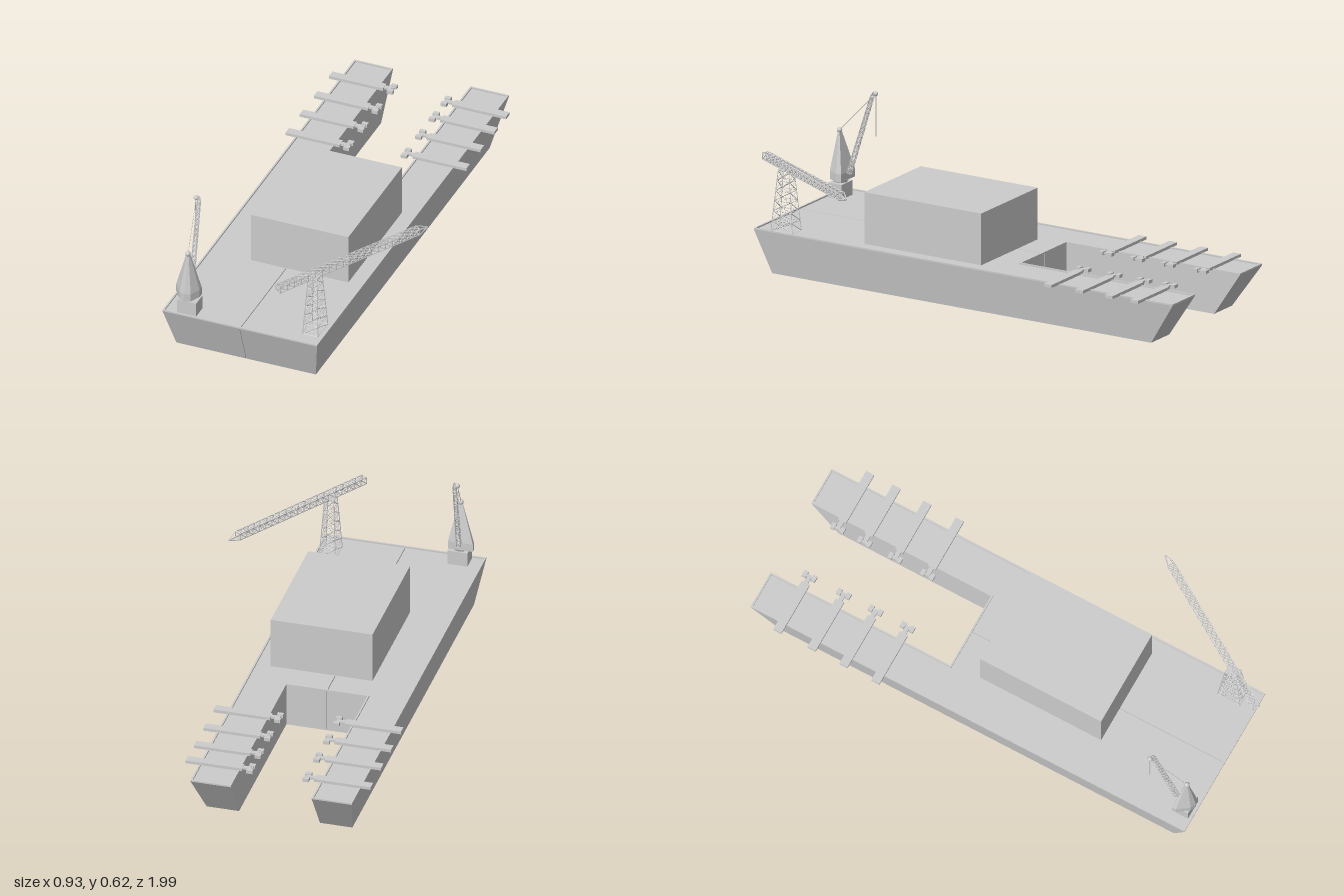
import * as THREE from 'three';
import { mergeGeometries } from 'three/addons/utils/BufferGeometryUtils.js';

const V = (x, y, z) => new THREE.Vector3(x, y, z);
const MID = -0.096, DECK = 0.183;

export function createModel() {
  const model = new THREE.Group();
  const mat = new THREE.MeshStandardMaterial({ color: 0xcccccc });
  const flat = new THREE.MeshStandardMaterial({ color: 0xcccccc, flatShading: true });

  const add = (name, geo, parent = model, material = flat) => {
    const mesh = new THREE.Mesh(geo, material);
    mesh.name = name;
    parent.add(mesh);
    return mesh;
  };
  const box = (x0, x1, y0, y1, z0, z1) =>
    new THREE.BoxGeometry(x1 - x0, y1 - y0, z1 - z0).translate((x0 + x1) / 2, (y0 + y1) / 2, (z0 + z1) / 2);

  // Plan outline given as [x, z] pairs, raised along y
  const path = (pts, T = THREE.Shape) => new T(pts.map(([x, z]) => new THREE.Vector2(x, -z)));
  const raise = (shape, height, y = 0) =>
    new THREE.ExtrudeGeometry(shape, { depth: height, bevelEnabled: false }).rotateX(-Math.PI / 2).translate(0, y, 0);

  // Move every vertex of a geometry by a rule
  const warp = (geo, rule) => {
    const p = geo.attributes.position, v = V(0, 0, 0);
    for (let i = 0; i < p.count; i++) {
      rule(v.fromBufferAttribute(p, i));
      p.setXYZ(i, v.x, v.y, v.z);
    }
    geo.computeVertexNormals();
    return geo;
  };

  // Thin square bar or round rod between two points
  const strut = (a, b, r, sides = 4) => {
    const d = b.clone().sub(a);
    const q = new THREE.Quaternion().setFromUnitVectors(V(0, 1, 0), d.clone().normalize());
    return new THREE.CylinderGeometry(r, r, d.length(), sides)
      .applyQuaternion(q).translate(...a.clone().add(b).multiplyScalar(0.5).toArray());
  };

  // Four-legged lattice truss tapering from size s0 to s1, cross braced in each bay
  const lattice = (a, b, s0, s1, bays, r) => {
    const dir = b.clone().sub(a).normalize();
    const u = Math.abs(dir.y) > 0.99 ? V(1, 0, 0) : V(0, 1, 0).cross(dir).normalize();
    const w = dir.clone().cross(u);
    const corner = (i, k) => {
      const t = i / bays, sx = [-1, 1, 1, -1][k % 4], sy = [-1, -1, 1, 1][k % 4];
      return a.clone().lerp(b, t)
        .addScaledVector(u, sx * THREE.MathUtils.lerp(s0[0], s1[0], t) / 2)
        .addScaledVector(w, sy * THREE.MathUtils.lerp(s0[1], s1[1], t) / 2);
    };
    const parts = [];
    for (let k = 0; k < 4; k++) {
      parts.push(strut(corner(0, k), corner(bays, k), r * 1.3));
      for (let i = 0; i <= bays; i++) {
        parts.push(strut(corner(i, k), corner(i, k + 1), r));
        if (i < bays) {
          parts.push(strut(corner(i, k), corner(i + 1, k + 1), r));
          parts.push(strut(corner(i, k + 1), corner(i + 1, k), r));
        }
      }
    }
    return mergeGeometries(parts);
  };

  // Hull: two halves with raked ends, flared outer sides and a slot at the stern
  const hull = new THREE.Group();
  hull.name = 'hull';
  model.add(hull);
  for (const side of [-1, 1]) {
    const seam = MID + side * 0.0015, inner = MID + side * 0.165, outer = MID + side * 0.329;
    const pts = [[seam, 0.945], [outer, 0.945], [outer, -1], [inner, -1], [inner, -0.195], [seam, -0.195]];
    add(side < 0 ? 'rightHullHalf' : 'leftHullHalf', warp(raise(path(pts), DECK - 0.005), (v) => {
      if (v.y > 0.01) return;
      if (Math.abs(v.x - MID) > 0.3) v.x -= side * 0.032;
      if (v.z > 0.9) v.z = 0.88;
      if (v.z < -0.9) v.z = -0.88;
    }), hull);
  }

  // Low rim around the deck edge
  const deckOutline = (e) => [
    [MID - 0.329 + e, 0.945 - e], [MID + 0.329 - e, 0.945 - e], [MID + 0.329 - e, -1 + e], [MID + 0.165 + e, -1 + e],
    [MID + 0.165 + e, -0.195 + e], [MID - 0.165 - e, -0.195 + e], [MID - 0.165 - e, -1 + e], [MID - 0.329 + e, -1 + e],
  ];
  const rim = path(deckOutline(0));
  rim.holes.push(path(deckOutline(0.007), THREE.Path));
  add('deckRim', raise(rim, 0.006, DECK - 0.005), hull);

  add('deckhouse', box(-0.247, 0.168, 0.17, 0.39, -0.07, 0.473));

  // Arms reaching over the slot, each with a rod and a double pad
  const arm = (side, z) => {
    const g = new THREE.Group();
    g.name = side < 0 ? 'rightMooringArm' : 'leftMooringArm';
    g.position.set(side < 0 ? -0.466 : 0.288, 0, z);
    g.scale.x = 1;
    g.rotation.y = side < 0 ? 0 : Math.PI;
    add('beam', box(0, 0.23, 0.181, 0.193, -0.018, 0.018), g);
    add('rod', box(0.225, 0.262, 0.184, 0.192, -0.009, 0.009), g);
    add('padBar', box(0.258, 0.268, 0.185, 0.191, -0.022, 0.022), g);
    for (const s of [-1, 1]) add('pad', box(0.25, 0.275, 0.181, 0.195, s * 0.02 - 0.009, s * 0.02 + 0.009), g);
    model.add(g);
  };
  [-0.857, -0.704, -0.561, -0.418].forEach((z) => arm(-1, z));
  [-0.857, -0.738, -0.6, -0.455].forEach((z) => arm(1, z));

  // Tower crane with a long lattice boom
  const tower = new THREE.Group();
  tower.name = 'towerCrane';
  model.add(tower);
  add('towerFrame', lattice(V(0.177, 0.178, 0.83), V(0.177, 0.425, 0.83), [0.066, 0.1], [0.038, 0.05], 6, 0.0014), tower);
  add('slewPlate', box(0.158, 0.196, 0.422, 0.429, 0.805, 0.855), tower);
  const boomEnd = V(0.438, 0.453, 0.41);
  add('boom', lattice(V(0.084, 0.436, 0.985), boomEnd, [0.027, 0.027], [0.027, 0.027], 20, 0.0016), tower);
  add('boomTip', lattice(boomEnd, V(0.462, 0.451, 0.37), [0.027, 0.027], [0.002, 0.002], 1, 0.0016), tower);

  // Pedestal crane with a tapered cab and luffing jib
  const crane = new THREE.Group();
  crane.name = 'pedestalCrane';
  model.add(crane);
  add('pedestal', box(-0.37, -0.288, 0.175, 0.238, 0.867, 0.93), crane);
  add('turntable', new THREE.CylinderGeometry(0.032, 0.026, 0.014, 16).translate(-0.333, 0.242, 0.9), crane);
  const cab = [[-0.052, -0.035], [-0.052, -0.018], [-0.018, 0.03], [0.006, 0.04], [0.03, 0.03], [0.05, -0.012], [0.05, -0.035]];
  add('cabBase', raise(path(cab), 0.033, 0.247).translate(-0.339, 0, 0.905), crane);
  add('cabTaper', warp(raise(path(cab), 0.16, 0.28), (v) => {
    if (v.y > 0.4) v.set(v.x * 0.17 + 0.006, v.y, v.z * 0.17);
  }).translate(-0.339, 0, 0.905), crane);
  const apex = V(-0.333, 0.447, 0.905), jibTop = V(-0.347, 0.603, 0.762), sheave = V(-0.361, 0.612, 0.755);
  add('cabBall', new THREE.SphereGeometry(0.011, 16, 12).translate(...apex.toArray()), crane, mat);
  add('jib', lattice(V(-0.336, 0.275, 0.862), jibTop, [0.016, 0.016], [0.012, 0.012], 16, 0.0013), crane);
  add('jibTip', lattice(jibTop, V(-0.347, 0.623, 0.756), [0.012, 0.012], [0.001, 0.001], 1, 0.0013), crane);
  add('sheaveBall', new THREE.SphereGeometry(0.01, 16, 12).translate(...sheave.toArray()), crane, mat);
  add('stayCable', strut(apex, sheave, 0.0012, 6), crane);
  for (const s of [-1, 1]) {
    const top = sheave.clone().add(V(s * 0.003, 0, 0));
    add('hoistCable', strut(top, V(top.x, 0.437, top.z), 0.0011, 6), crane);
  }
  return model;
}
